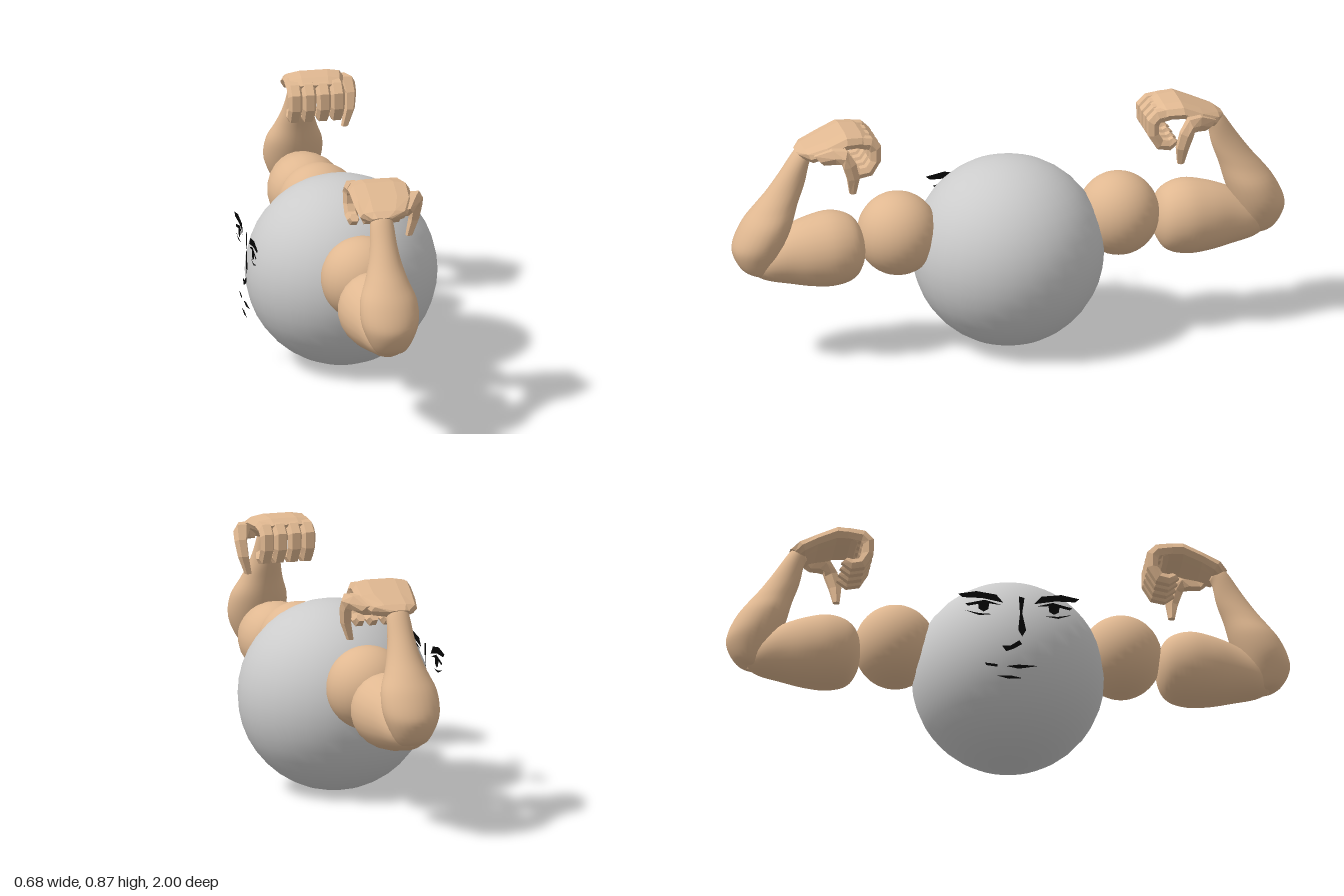
import * as THREE from 'three';

const skin = new THREE.MeshStandardMaterial({ color: 0xe0b891 });
const skinFaceted = new THREE.MeshStandardMaterial({ color: 0xe0b891, flatShading: true });
const grey = new THREE.MeshStandardMaterial({ color: 0xcccccc });
const ink = new THREE.MeshStandardMaterial({ color: 0x050505, side: THREE.DoubleSide });

// Loft through sections [zA, yA, zB, yB, halfWidth, centreX]: A and B are opposite
// points of the side outline. box < 1 squares the section; side -1 mirrors in z.
function loft(sections, side, { sides = 24, steps = 4, box = 1, dx = 0 } = {}) {
  const curve = (f) => new THREE.CatmullRomCurve3(sections.map(f), false, 'catmullrom', 0.5);
  const a = curve((s) => new THREE.Vector3(s[0], s[1], s[4]));
  const b = curve((s) => new THREE.Vector3(s[2], s[3], s[5] ?? 0));
  const rings = (sections.length - 1) * steps;
  const pow = (v) => Math.sign(v) * Math.abs(v) ** box;
  const pos = [], idx = [];
  const tri = (p, q, r) => (side > 0 ? idx.push(p, q, r) : idx.push(p, r, q));
  for (let i = 0; i <= rings; i++) {
    const A = a.getPoint(i / rings), B = b.getPoint(i / rings);
    for (let j = 0; j < sides; j++) {
      const t = ((j + 0.5) / sides) * Math.PI * 2;
      const c = pow(Math.cos(t)) / 2, w = pow(Math.sin(t)) * A.z;
      pos.push(B.z + dx + w, (A.y + B.y) / 2 + c * (A.y - B.y), side * ((A.x + B.x) / 2 + c * (A.x - B.x)));
    }
  }
  for (let i = 0; i < rings; i++) {
    for (let j = 0; j < sides; j++) {
      const k = (j + 1) % sides, p = i * sides, q = p + sides;
      tri(p + j, p + k, q + k);
      tri(p + j, q + k, q + j);
    }
  }
  // end caps
  const last = rings * sides;
  for (let j = 1; j < sides - 1; j++) {
    tri(0, j + 1, j);
    tri(last, last + j, last + j + 1);
  }
  const geo = new THREE.BufferGeometry();
  geo.setAttribute('position', new THREE.Float32BufferAttribute(pos, 3));
  geo.setIndex(idx);
  geo.computeVertexNormals();
  return geo;
}

const UPPER_ARM = [
  [0.525, 0.405, 0.525, 0.415, 0.005], [0.535, 0.345, 0.535, 0.475, 0.07], [0.57, 0.295, 0.57, 0.525, 0.115],
  [0.64, 0.277, 0.64, 0.546, 0.135], [0.72, 0.282, 0.72, 0.533, 0.125], [0.80, 0.297, 0.80, 0.505, 0.1],
  [0.88, 0.315, 0.88, 0.46, 0.075], [0.93, 0.34, 0.93, 0.42, 0.04],
];
const FOREARM = [
  [0.93, 0.338, 0.92, 0.338, 0.005], [0.97, 0.365, 0.88, 0.335, 0.05], [0.998, 0.42, 0.84, 0.39, 0.085],
  [0.995, 0.465, 0.81, 0.46, 0.103], [0.965, 0.53, 0.785, 0.53, 0.1], [0.925, 0.585, 0.765, 0.60, 0.075],
  [0.88, 0.64, 0.745, 0.655, 0.058], [0.83, 0.71, 0.735, 0.69, 0.048], [0.78, 0.785, 0.725, 0.74, 0.042],
  [0.755, 0.81, 0.715, 0.765, 0.035],
];
const PALM = [
  [0.775, 0.797, 0.74, 0.765, 0.04, 0], [0.75, 0.815, 0.722, 0.768, 0.085, 0.01], [0.68, 0.845, 0.68, 0.79, 0.105, 0.02],
  [0.61, 0.875, 0.615, 0.815, 0.108, 0.018], [0.55, 0.868, 0.565, 0.815, 0.102, 0.012], [0.515, 0.85, 0.545, 0.805, 0.098, 0.01],
];
const FINGER = [
  [0.575, 0.865, 0.575, 0.82, 0.025], [0.515, 0.857, 0.53, 0.81, 0.026], [0.482, 0.825, 0.525, 0.80, 0.026],
  [0.483, 0.765, 0.525, 0.77, 0.025], [0.515, 0.712, 0.54, 0.748, 0.024], [0.565, 0.702, 0.56, 0.745, 0.022],
  [0.60, 0.728, 0.575, 0.75, 0.016],
];
const THUMB = [
  [0.73, 0.81, 0.69, 0.768, 0.03, 0.09], [0.67, 0.84, 0.655, 0.78, 0.035, 0.12], [0.62, 0.84, 0.64, 0.785, 0.03, 0.142],
  [0.587, 0.79, 0.635, 0.77, 0.023, 0.15], [0.573, 0.73, 0.62, 0.725, 0.02, 0.145], [0.582, 0.665, 0.607, 0.665, 0.013, 0.128],
];

// Flat ink marks as [z, y] outlines; the first group repeats on both sides of the nose.
const EYE_MARKS = {
  brow: [[0.055, 0.478], [0.08, 0.508], [0.15, 0.518], [0.215, 0.505], [0.2, 0.492], [0.13, 0.492]],
  eyelid: [[0.06, 0.468], [0.12, 0.486], [0.19, 0.468], [0.18, 0.46], [0.12, 0.474]],
  iris: [[0.105, 0.475], [0.145, 0.475], [0.142, 0.45], [0.125, 0.44], [0.108, 0.45]],
  eyeBag: [[0.09, 0.432], [0.14, 0.425], [0.19, 0.442], [0.14, 0.433]],
};
const FACE_MARKS = {
  noseBridge: [[0.0, 0.505], [0.02, 0.5], [0.012, 0.44], [0.026, 0.375], [0.012, 0.35], [-0.002, 0.375], [0.004, 0.44]],
  noseBase: [[-0.06, 0.312], [-0.045, 0.29], [-0.02, 0.3], [0.012, 0.32], [0.002, 0.335], [-0.03, 0.312]],
  mouthLeft: [[-0.12, 0.242], [-0.075, 0.238], [-0.075, 0.228], [-0.115, 0.232]],
  mouthRight: [[-0.045, 0.232], [0.0, 0.24], [0.07, 0.238], [0.0, 0.224]],
  lowerLip: [[-0.08, 0.194], [-0.03, 0.197], [0.015, 0.188], [-0.035, 0.183]],
};

export function createModel() {
  const model = new THREE.Group();
  const add = (parent, name, geo, mat) => {
    const mesh = new THREE.Mesh(geo, mat);
    mesh.name = name;
    parent.add(mesh);
    return mesh;
  };

  // round body
  add(model, 'body', new THREE.SphereGeometry(0.34, 32, 20), grey).position.y = 0.343;

  // flexed arms, mirrored front to back
  for (const side of [1, -1]) {
    const arm = new THREE.Group();
    arm.name = side > 0 ? 'frontArm' : 'backArm';
    const shoulder = new THREE.SphereGeometry(1, 28, 20).scale(0.148, 0.15, 0.145).translate(0, 0.445, side * 0.4);
    add(arm, 'shoulder', shoulder, skin);
    add(arm, 'upperArm', loft(UPPER_ARM, side), skin);
    add(arm, 'forearm', loft(FOREARM, side), skin);

    // curled hand
    const hand = new THREE.Group();
    hand.name = 'hand';
    add(hand, 'palm', loft(PALM, side, { sides: 10, steps: 1, box: 0.65 }), skinFaceted);
    for (const dx of [-0.066, -0.016, 0.036, 0.086]) {
      add(hand, 'finger', loft(FINGER, side, { sides: 6, steps: 1, box: 0.8, dx }), skinFaceted);
    }
    add(hand, 'thumb', loft(THUMB, side, { sides: 6, steps: 1, box: 0.8 }), skinFaceted);
    arm.add(hand);
    model.add(arm);
  }

  // drawn face, flat on the -x side
  const face = new THREE.Group();
  face.name = 'face';
  const mark = (name, points, mirror) => {
    const shape = new THREE.Shape(points.map(([z, y]) => new THREE.Vector2(mirror * z, y)));
    add(face, name, new THREE.ShapeGeometry(shape), ink);
  };
  for (const [name, points] of Object.entries(EYE_MARKS)) {
    mark(name, points, 1);
    mark(name, points, -1);
  }
  for (const [name, points] of Object.entries(FACE_MARKS)) mark(name, points, 1);
  face.rotation.y = -Math.PI / 2;
  face.position.x = -0.341;
  model.add(face);

  return model;
}
